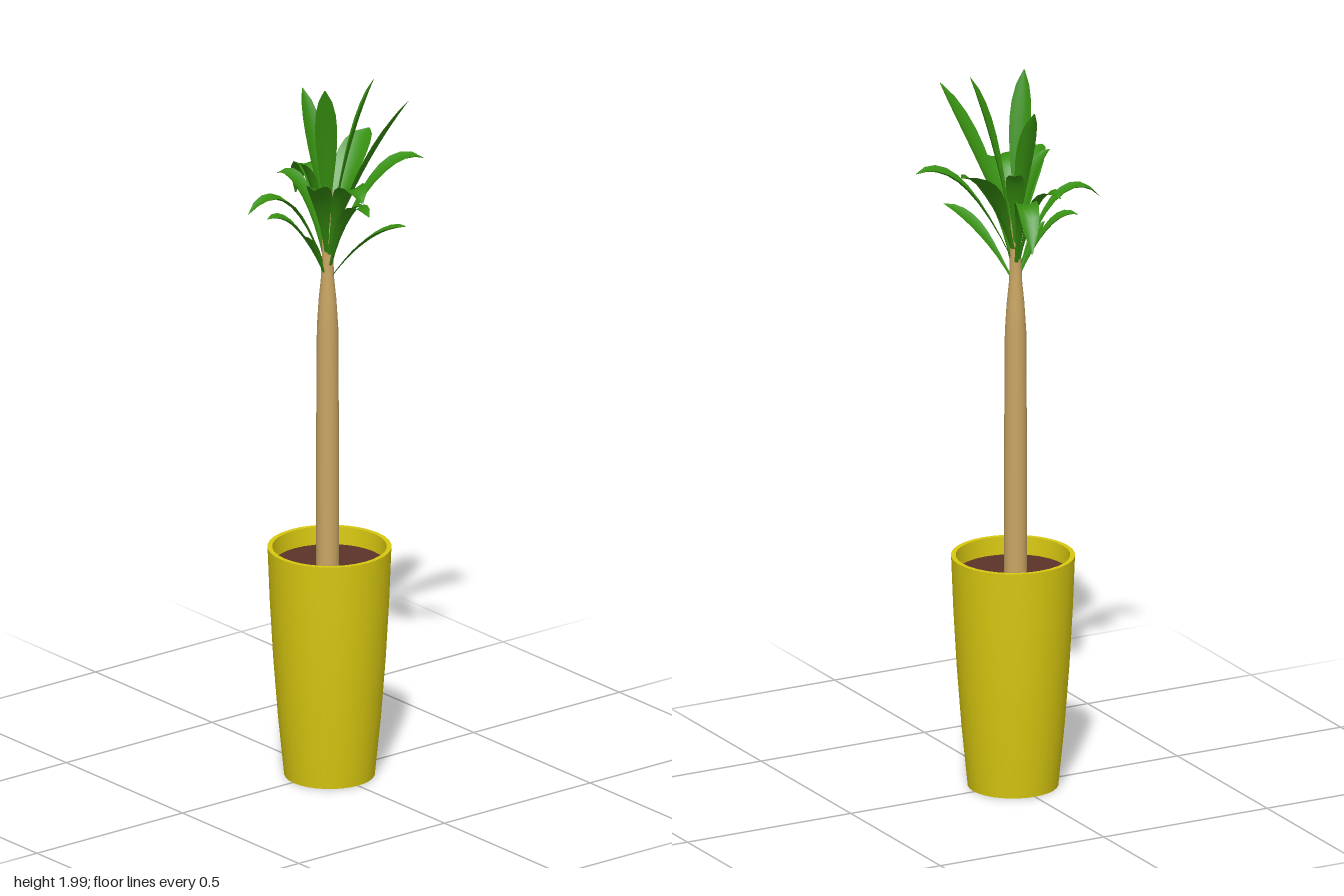
import * as THREE from 'three';

const V = (x, y, z) => new THREE.Vector3(x, y, z);
const STEM = { x: -0.01, z: 0.01 };
const mat = (color, side = THREE.FrontSide) => new THREE.MeshStandardMaterial({ color, side });

function lathe(name, profile, segments, material) {
  const pts = profile.map(([r, y]) => new THREE.Vector2(r, y));
  const mesh = new THREE.Mesh(new THREE.LatheGeometry(pts, segments), material);
  mesh.name = name;
  return mesh;
}

// A folded blade swept along an arched midrib, widest past the middle
function leafGeometry([x, y, z, baseY, rise, reach, width]) {
  const dir = V(x - STEM.x, 0, z - STEM.z).normalize();
  const side = V(-dir.z, 0, dir.x);
  const base = V(STEM.x, baseY, STEM.z).addScaledVector(dir, 0.008);
  const tip = V(x, y, z);
  const control = base.clone().lerp(tip, reach).setY(rise);
  const curve = new THREE.QuadraticBezierCurve3(base, control, tip);
  const outline = [0.16, 0.24, 0.4, 0.62, 0.83, 0.97, 1, 0.9, 0.62, 0.06];
  const n = outline.length - 1;
  const pos = [], idx = [];
  outline.forEach((w, i) => {
    const p = curve.getPoint(i / n);
    const up = side.clone().cross(curve.getTangent(i / n)).normalize();
    for (const s of [-1, -0.5, 0, 0.5, 1]) {
      const q = p.clone().addScaledVector(side, s * w * width / 2)
        .addScaledVector(up, -s * s * w * width * -0.16);
      pos.push(q.x, q.y, q.z);
    }
    if (i < n) for (let k = 0; k < 4; k++) {
      const a = i * 5 + k, b = a + 5;
      idx.push(a, a + 1, b, a + 1, b + 1, b);
    }
  });
  const g = new THREE.BufferGeometry();
  g.setAttribute('position', new THREE.Float32BufferAttribute(pos, 3));
  g.setIndex(idx);
  g.computeVertexNormals();
  return g;
}

export function createModel() {
  const model = new THREE.Group();

  // Tapered pot: outside wall, flat rim, inside wall and base
  const yellow = mat(0xd8c810, THREE.DoubleSide);
  const pot = new THREE.Group();
  pot.name = 'pot';
  pot.add(
    lathe('potOuterWall', [[0.122, 0], [0.139, 0.17], [0.152, 0.34], [0.161, 0.5], [0.167, 0.65]], 32, yellow),
    lathe('potRim', [[0.167, 0.65], [0.154, 0.65]], 32, yellow),
    lathe('potInnerWall', [[0.154, 0.65], [0.151, 0.59]], 32, yellow),
    lathe('potBase', [[0, 0], [0.122, 0]], 32, yellow),
  );
  const soil = lathe('soil', [[0.152, 0.6], [0, 0.6]], 32, mat(0x5c3329));
  pot.add(soil);
  pot.position.set(0, 0, 0.006);
  model.add(pot);

  // Trunk narrowing into the stem that carries the leaves
  const trunk = lathe('trunk', [[0.031, 0.59], [0.031, 0.95], [0.029, 1.28], [0.024, 1.36],
    [0.018, 1.42], [0.015, 1.5], [0.013, 1.7], [0, 1.7]], 16, mat(0xc9a663));
  trunk.position.set(STEM.x, 0, STEM.z);
  model.add(trunk);

  // Leaves: tip x, y, z, base height, control height, control reach, width
  const leaves = [
    // upright crown
    [0.085, 1.99, 0.09, 1.54, 1.82, 0.4, 0.062],
    [-0.075, 1.99, 0.08, 1.54, 1.82, 0.4, 0.06],
    [-0.005, 1.93, -0.105, 1.54, 1.78, 0.35, 0.055],
    [0.12, 1.95, 0.195, 1.52, 1.76, 0.4, 0.068],
    // middle, spreading
    [0.205, 1.775, -0.08, 1.5, 1.74, 0.4, 0.085],
    [0.24, 1.735, 0.11, 1.48, 1.79, 0.55, 0.062],
    [-0.165, 1.745, 0.145, 1.48, 1.74, 0.45, 0.065],
    [-0.05, 1.7, 0.21, 1.47, 1.8, 0.5, 0.075],
    [-0.12, 1.775, 0.02, 1.5, 1.76, 0.45, 0.04],
    [0.045, 1.755, -0.085, 1.5, 1.74, 0.4, 0.05],
    [-0.24, 1.64, -0.042, 1.45, 1.76, 0.5, 0.05],
    [0.068, 1.58, -0.225, 1.46, 1.85, 0.6, 0.06],
    [-0.065, 1.69, -0.14, 1.46, 1.74, 0.45, 0.055],
    // lower, slender
    [-0.165, 1.605, -0.055, 1.43, 1.63, 0.55, 0.05],
    [0.1, 1.6, 0.21, 1.42, 1.58, 0.5, 0.05],
    [-0.035, 1.66, 0.22, 1.44, 1.72, 0.5, 0.05],
    [-0.11, 1.57, 0.03, 1.42, 1.53, 0.5, 0.035],
    [0.02, 1.65, 0.125, 1.43, 1.65, 0.4, 0.045],
  ];
  const green = mat(0x379010, THREE.DoubleSide);
  const foliage = new THREE.Group();
  foliage.name = 'foliage';
  leaves.forEach((spec, i) => {
    const leaf = new THREE.Mesh(leafGeometry(spec), green);
    leaf.name = `leaf${i + 1}`;
    foliage.add(leaf);
  });
  model.add(foliage);
  return model;
}
